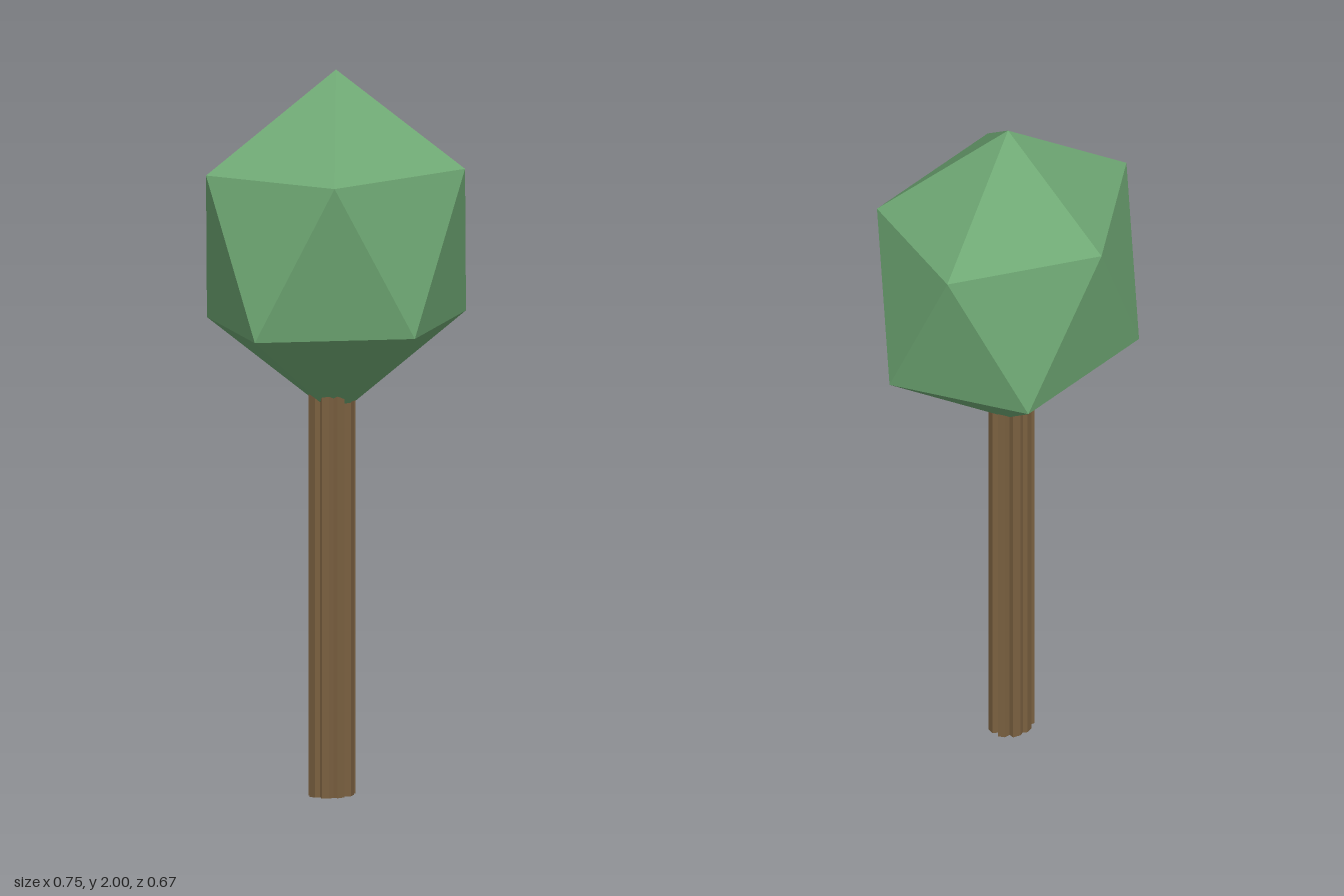
import * as THREE from 'three';
import { ConvexGeometry } from 'three/addons/geometries/ConvexGeometry.js';

// Points of a horizontal five-cornered elliptical ring
function ring(y, startAngle, rx, rz) {
  return Array.from({ length: 5 }, (_, i) => {
    const a = startAngle + (i * Math.PI * 2) / 5;
    return new THREE.Vector3(Math.sin(a) * rx, y, Math.cos(a) * rz);
  });
}

// Faceted crown: two offset rings between a top and a bottom point
function createCrown() {
  const points = [
    new THREE.Vector3(0, 2, 0),
    ...ring(1.737, Math.PI, 0.392, 0.335),
    ...ring(1.304, 0, 0.392, 0.335),
    new THREE.Vector3(0, 1.04, 0),
  ];
  const material = new THREE.MeshStandardMaterial({ color: 0x6fa874, flatShading: true });
  const crown = new THREE.Mesh(new ConvexGeometry(points), material);
  crown.name = 'crown';
  return crown;
}

// Straight trunk with angular grooves, its top hidden inside the crown
function createTrunk() {
  const lobes = 9;
  const depths = [0.8, 0.86, 0.76, 0.84, 0.78];
  const outline = [];
  for (let i = 0; i < lobes; i++) {
    // Each ridge has two corners, followed by one groove corner
    for (const [offset, r] of [[-0.26, 1], [0.22, 0.97], [0.5, depths[i % depths.length]]]) {
      const a = ((i + offset) / lobes) * Math.PI * 2 + Math.PI;
      outline.push(new THREE.Vector2(Math.cos(a) * 0.069 * r, Math.sin(a) * 0.059 * r));
    }
  }
  const geometry = new THREE.ExtrudeGeometry(new THREE.Shape(outline), {
    depth: 1.2,
    bevelEnabled: false,
  });
  geometry.rotateX(-Math.PI / 2);
  geometry.translate(-0.021, 0, 0.006);
  const material = new THREE.MeshStandardMaterial({ color: 0x7a6040, flatShading: true });
  const trunk = new THREE.Mesh(geometry, material);
  trunk.name = 'trunk';
  return trunk;
}

export function createModel() {
  const tree = new THREE.Group();
  tree.name = 'tree';
  tree.add(createTrunk(), createCrown());
  return tree;
}
